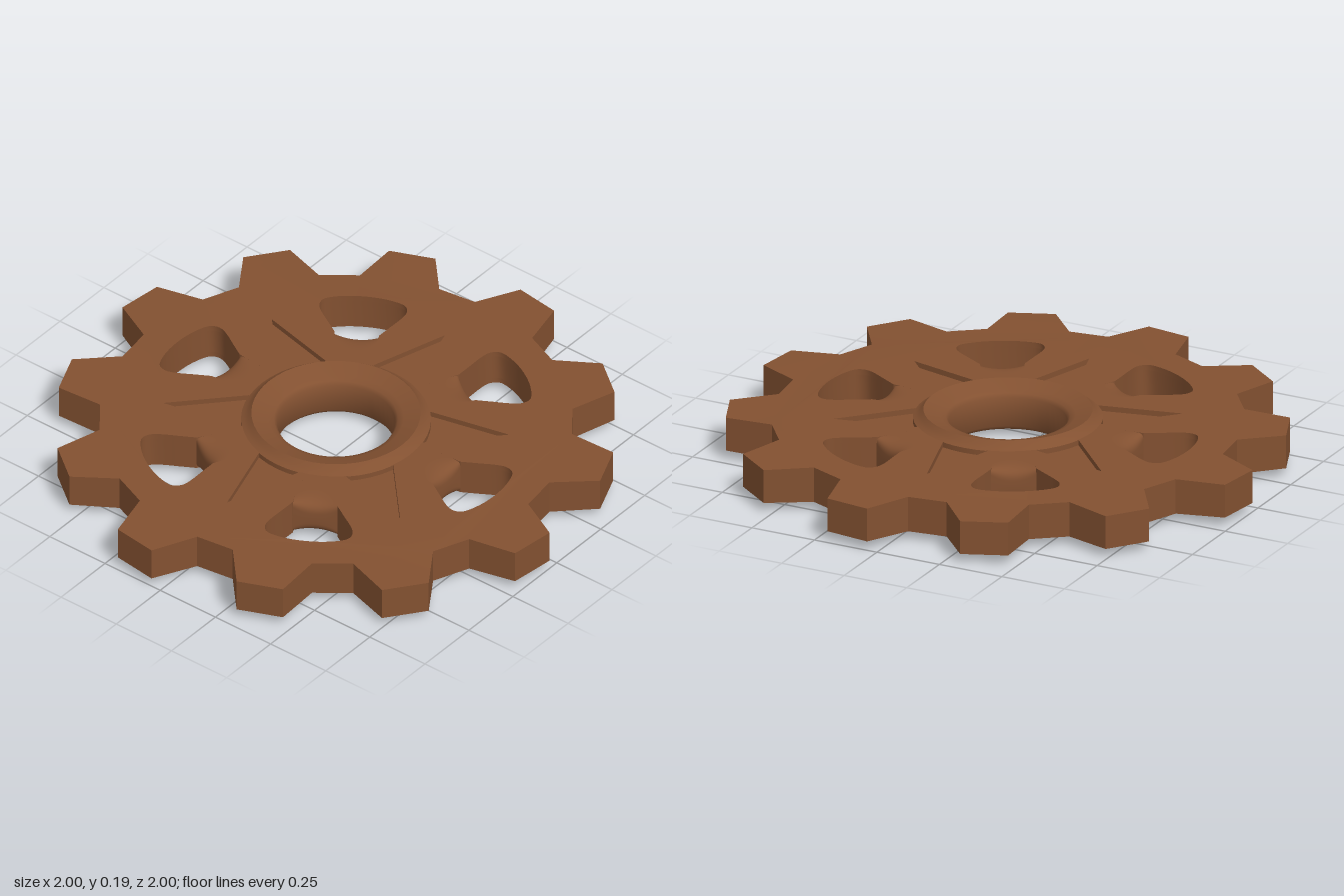
import * as THREE from 'three';
import { toCreasedNormals } from 'three/addons/utils/BufferGeometryUtils.js';
import { ParametricGeometry } from 'three/addons/geometries/ParametricGeometry.js';

const MID = 0.096;     // height of the mirror plane
const HALF = 0.068;    // half thickness of the plate
const RECESS = 0.02;   // depth of the spike recesses
const TEETH = 12, SPOKES = 6;

const polar = (r, deg) => new THREE.Vector2(r * Math.cos(deg * Math.PI / 180), r * Math.sin(deg * Math.PI / 180));
const turned = (points, deg) => points.map(p => p.clone().rotateAround(new THREE.Vector2(), deg * Math.PI / 180));

// Rounded window, running inward to r = 0.37 where the web fills it
function windowOutline() {
  const half = [[0.5, 0.08], [0.555, 0.112], [0.61, 0.144], [0.65, 0.157], [0.687, 0.141], [0.71, 0.075], [0.717, 0]];
  const side = half.map(([x, y]) => new THREE.Vector2(x, y));
  const mirror = side.slice(0, -1).reverse().map(p => new THREE.Vector2(p.x, -p.y));
  const curve = new THREE.SplineCurve([...side, ...mirror]).getPoints(36);
  return [new THREE.Vector2(0.37, 0.07), ...curve, new THREE.Vector2(0.37, -0.07)];
}

// Toothed outline (counter-clockwise) with the bore and windows, optionally with spike cut-outs
function plateShape(withSpikes) {
  const outline = [];
  for (let i = 0; i < TEETH; i++) {
    for (const [r, a] of [[0.84, -17.3], [1, -12.1], [1, -2.3], [0.84, 2.7]]) {
      outline.push(polar(r, a + i * 360 / TEETH));
    }
  }
  const shape = new THREE.Shape(outline);
  const bore = Array.from({ length: 48 }, (_, i) => polar(0.28, i * 7.5));
  shape.holes.push(new THREE.Path(bore));
  const spike = [new THREE.Vector2(0.325, 0.09), new THREE.Vector2(0.325, -0.09), new THREE.Vector2(0.62, 0)];
  for (let i = 0; i < SPOKES; i++) {
    shape.holes.push(new THREE.Path(turned(windowOutline(), i * 60)));
    if (withSpikes) shape.holes.push(new THREE.Path(turned(spike, i * 60 + 30)));
  }
  return shape;
}

// One layer of the plate, thinning slightly towards the tooth tips
function layer(shape, y0, y1) {
  const geo = new THREE.ExtrudeGeometry(shape, { depth: y1 - y0, bevelEnabled: false });
  geo.rotateX(-Math.PI / 2).translate(0, y0, 0);
  const pos = geo.attributes.position;
  for (let i = 0; i < pos.count; i++) {
    const taper = Math.max(0, Math.hypot(pos.getX(i), pos.getZ(i)) - 0.72) / 0.28;
    pos.setY(i, MID + (pos.getY(i) - MID) * (1 - 0.08 * taper));
  }
  return toCreasedNormals(geo, 0.45);
}

// Rounded web between the hub and a window
function webGeometry() {
  const geo = new ParametricGeometry((u, v, target) => {
    const a = Math.PI * (0.5 - u), s = 1 - 2 * v;
    const power = 0.2 + 0.33 * (1 - s * s);
    const reach = Math.pow(Math.max(0, Math.cos(a)), power);
    const rise = Math.sign(Math.sin(a)) * Math.pow(Math.abs(Math.sin(a)), power);
    target.set(0.37 + 0.13 * reach, MID + HALF * rise, s * (0.07 + 0.01 * reach));
  }, 28, 12);
  geo.computeVertexNormals();
  return geo;
}

// Hub ring: dished towards the bore, with a soft flare onto the plate, alike on both faces
function hubGeometry() {
  const upper = [[0.337, 0.067], [0.325, 0.073], [0.312, 0.083], [0.3, 0.096], [0.24, 0.076], [0.22, 0.068], [0.21, 0.054]];
  const lower = upper.map(([r, y]) => [r, -y]).reverse();
  const profile = [...lower, ...upper, lower[0]].map(([r, y]) => new THREE.Vector2(r, MID + y));
  return toCreasedNormals(new THREE.LatheGeometry(profile, 48), 0.75);
}

export function createModel() {
  const group = new THREE.Group();
  const brown = new THREE.MeshStandardMaterial({ color: 0x835131 });
  brown.name = 'brown metal';

  const add = (name, geo) => {
    const mesh = new THREE.Mesh(geo, brown);
    mesh.name = name;
    group.add(mesh);
    return mesh;
  };

  // Toothed plate: solid core with a spike-pierced skin on each face
  const bottom = MID - HALF, top = MID + HALF;
  const pierced = plateShape(true);
  add('plateCore', layer(plateShape(false), bottom + RECESS, top - RECESS));
  add('topSkin', layer(pierced, top - RECESS, top));
  add('bottomSkin', layer(pierced, bottom, bottom + RECESS));

  // Webs beside the windows
  const web = webGeometry();
  for (let i = 0; i < SPOKES; i++) {
    add('windowWeb', web).rotation.y = i * Math.PI / 3;
  }

  add('hub', hubGeometry());
  return group;
}
